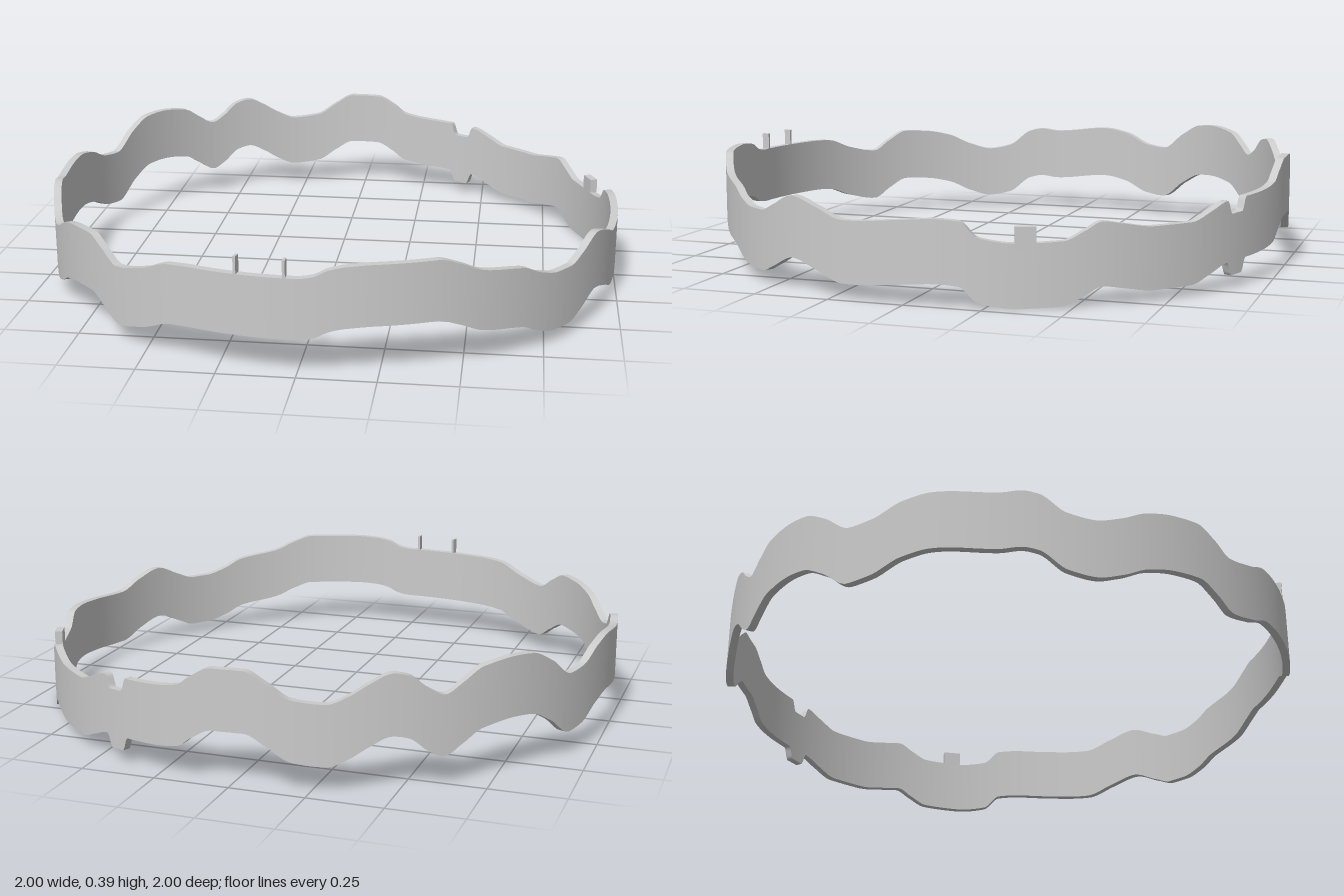
import * as THREE from 'three';

const OUTER = 1, INNER = 0.974, HEIGHT = 0.198;
const material = new THREE.MeshStandardMaterial({ color: 0xcccccc });

// Top edge of the band as [angle in degrees, height]; 0 is the front, 90 is +x.
const RIGHT_EDGE = [
  [0, .325], [3, .332], [6, .355], [9, .365], [14, .37], [25, .37], [29, .35], [34, .315],
  [43, .29], [47, .26], [52, .24], [56, .24], [60, .265], [66, .305], [72, .28], [78, .248],
  [90, .263], [96, .27], [100, .265], [103.5, .215], [110, .2], [118, .205], [122, .235],
  [125, .26], [129, .25], [135, .235], [143, .235], [148, .262], [152, .285], [165, .297],
  [170, .31], [173, .345], [177, .378],
];
const LEFT_EDGE = [
  [183, .38], [187, .345], [191.5, .298], [197.5, .287], [201.7, .315], [205, .35], [209, .38],
  [212, .37], [215.5, .325], [218.5, .302], [222, .335], [226, .375], [233, .39], [237, .385],
  [242, .345], [248, .28], [252.5, .288], [258.5, .33], [264, .345], [276, .327], [280, .335],
  [283, .325], [288, .265], [293, .25], [298, .272], [303, .31], [309, .33], [314.5, .335],
  [319, .3], [323, .262], [330, .285], [336, .32], [341, .325],
];
const EDGE = RIGHT_EDGE.concat(LEFT_EDGE);

const knot = (i) => {
  const n = EDGE.length, turn = Math.floor(i / n), [a, y] = EDGE[i - turn * n];
  return [a + turn * 360, y];
};

// Slope that never overshoots: flat at peaks and dips
function slope(i) {
  const [a0, y0] = knot(i - 1), [a1, y1] = knot(i), [a2, y2] = knot(i + 1);
  const s = (y1 - y0) / (a1 - a0), t = (y2 - y1) / (a2 - a1);
  return s * t <= 0 ? 0 : (2 * s * t) / (s + t);
}

// Height of the top edge at an angle, with the small square-sided key near the back
function topEdge(deg) {
  let i = EDGE.length - 1;
  while (EDGE[i][0] > deg) i--;
  const [a, ya] = knot(i), [b, yb] = knot(i + 1), w = b - a, t = (deg - a) / w;
  const t2 = t * t, t3 = t2 * t;
  const y = (2 * t3 - 3 * t2 + 1) * ya + (t3 - 2 * t2 + t) * w * slope(i)
    + (3 * t2 - 2 * t3) * yb + (t3 - t2) * w * slope(i + 1);
  const key = 1 - THREE.MathUtils.smoothstep(Math.abs(deg - 155.2), 1.6, 2.8);
  return y - 0.045 * key;
}

// Sweep a rectangular section round the circle, one strip per side for sharp edges
function bandGeometry(n) {
  const position = [], index = [];
  const corners = [[OUTER, -HEIGHT], [OUTER, 0], [INNER, 0], [INNER, -HEIGHT]];
  for (let s = 0; s < 4; s++) {
    const base = position.length / 3;
    for (let i = 0; i < n; i++) {
      const deg = (i / n) * 360, a = THREE.MathUtils.degToRad(deg), y = topEdge(deg);
      for (const [r, dy] of [corners[s], corners[(s + 1) % 4]]) {
        position.push(r * Math.sin(a), y + dy, r * Math.cos(a));
      }
      const p = base + 2 * i, q = base + 2 * ((i + 1) % n);
      index.push(p, q, q + 1, p, q + 1, p + 1);
    }
  }
  const g = new THREE.BufferGeometry();
  g.setAttribute('position', new THREE.Float32BufferAttribute(position, 3));
  g.setIndex(index);
  g.computeVertexNormals();
  return g;
}

// Small upright block standing in the wall of the band
function block(name, deg, width, bottom, top) {
  const depth = OUTER - INNER, r = (OUTER + INNER) / 2, a = THREE.MathUtils.degToRad(deg);
  const mesh = new THREE.Mesh(new THREE.BoxGeometry(width, top - bottom, depth), material);
  mesh.position.set(r * Math.sin(a), (top + bottom) / 2, r * Math.cos(a));
  mesh.rotation.y = a;
  mesh.name = name;
  return mesh;
}

export function createModel() {
  const group = new THREE.Group();
  group.name = 'wavyRing';

  const band = new THREE.Mesh(bandGeometry(900), material);
  band.name = 'wavyBand';
  group.add(band);

  // Two thin pins on the front edge, one wider tab on the side
  for (const deg of [-10.7, -1.9]) group.add(block('edgePin', deg, 0.009, 0.3, 0.382));
  group.add(block('edgeTab', 111.6, 0.064, 0.18, 0.25));
  return group;
}
